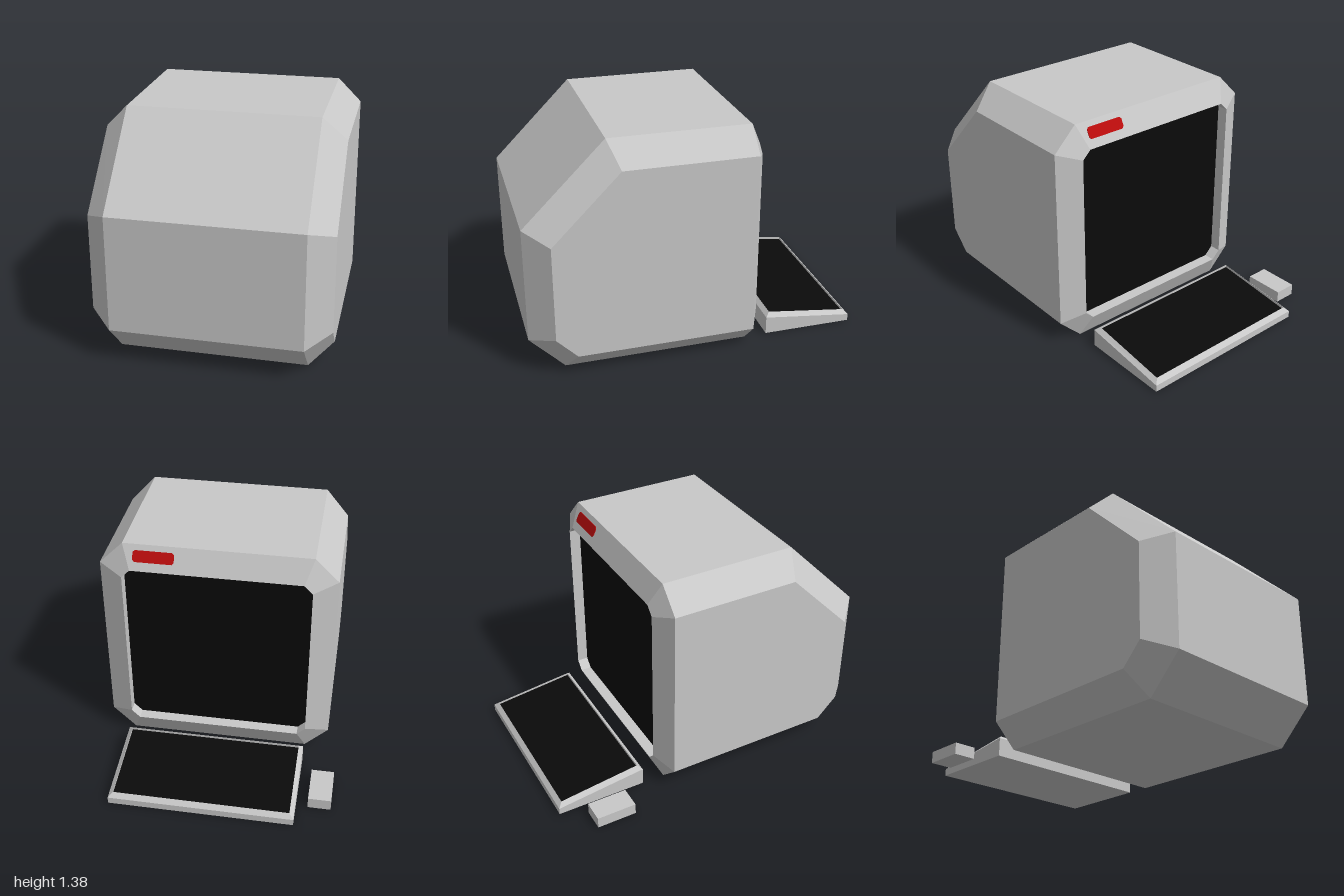
import * as THREE from 'three';

const casing = new THREE.MeshStandardMaterial({ color: 0xc8c8c8 });
casing.name = 'casing grey';
const dark = new THREE.MeshStandardMaterial({ color: 0x0a0a0a });
dark.name = 'screen black';
const red = new THREE.MeshStandardMaterial({ color: 0xbb0c0c });
red.name = 'badge red';

// Flat-shaded mesh from a list of triangles, each corner a [x, y, z]
function facets(name, triangles, material) {
  const g = new THREE.BufferGeometry();
  g.setAttribute('position', new THREE.Float32BufferAttribute(triangles.flat(2), 3));
  g.computeVertexNormals();
  const mesh = new THREE.Mesh(g, material);
  mesh.name = name;
  return mesh;
}

// Fan over a convex ring, facing the side from which it runs counter-clockwise
const cap = (ring) => ring.slice(2).map((p, i) => [ring[0], ring[i + 1], p]);
const flip = (ring) => [...ring].reverse();

// Bands between successive rings; an open ring leaves out its closing side
function loft(rings, closed = true) {
  const out = [];
  for (let r = 0; r < rings.length - 1; r++) {
    const a = rings[r], b = rings[r + 1], n = a.length;
    for (let i = 0; i < (closed ? n : n - 1); i++) {
      const j = (i + 1) % n;
      out.push([a[i], a[j], b[j]], [a[i], b[j], b[i]]);
    }
  }
  return out;
}

const CX = 0.03; // machine centre line
const CY = 0.69;

// Octagon (square with cut corners) that runs counter-clockwise seen from behind
function octagon(h, cut, z) {
  const k = h - cut;
  return [[-k, h], [k, h], [h, k], [h, -k], [k, -h], [-k, -h], [-h, -k], [-h, k]]
    .map(([x, y]) => [CX + x, CY + y, z]);
}

// Sloping keyboard outline; y falls from the machine side to the typist side
function slab(inset, yNear, yFar) {
  const x0 = CX - 0.55 + inset, x1 = CX + 0.55 - inset;
  const z0 = -1 + inset, z1 = -0.45 - inset;
  return [[x0, yNear, z1], [x1, yNear, z1], [x1, yFar, z0], [x0, yFar, z0]];
}

export function createModel() {
  const model = new THREE.Group();
  model.name = 'desktopComputer';

  // Housing: side profiles [z, y] lofted across the width
  const main = [[-0.31, 1.38], [0.52, 1.38], [1, 0.9], [1, 0.21], [0.795, 0], [-0.31, 0]];
  const side = [[-0.31, 1.24], [0.465, 1.24], [0.862, 0.84], [0.862, 0.265], [0.74, 0.14], [-0.31, 0.14]];
  const at = (profile, x) => profile.map(([z, y]) => [x, y, z]);
  const rings = [at(side, CX - 0.69), at(main, CX - 0.55), at(main, CX + 0.55), at(side, CX + 0.69)];
  model.add(facets('housing', [...loft(rings, false), ...cap(flip(rings[0])), ...cap(rings[3])], casing));

  // Bezel slopes out to a rim, then drops straight back to the screen
  const rim = octagon(0.55, 0.05, -0.378);
  const screen = octagon(0.55, 0.05, -0.31);
  model.add(facets('bezel', loft([octagon(0.69, 0.14, -0.31), rim, screen]), casing));
  model.add(facets('screen', cap(screen), dark));

  // Small badge lying on the upper bezel slope
  const w = 0.12, h = 0.034, c = 0.012;
  const outline = new THREE.Shape(
    [[-w + c, -h], [w - c, -h], [w, -h + c], [w, h - c], [w - c, h], [-w + c, h], [-w, h - c], [-w, -h + c]]
      .map(([x, y]) => new THREE.Vector2(x, y)));
  const badge = new THREE.Mesh(
    new THREE.ExtrudeGeometry(outline, { depth: 0.008, bevelEnabled: false }).translate(0, 0, -0.004), red);
  badge.name = 'badge';
  badge.position.set(0.395, 1.318, -0.34);
  badge.rotation.x = Math.atan2(0.068, 0.14);
  model.add(badge);

  // Keyboard: wedge with a bevelled rim around a sunken key field
  const keyboard = new THREE.Group();
  keyboard.name = 'keyboard';
  const base = slab(0, 0, 0);
  const keys = slab(0.026, 0.118, 0.053);
  keyboard.add(facets('keyboardCase',
    [...loft([base, slab(0, 0.11, 0.042), slab(0.026, 0.133, 0.068), keys]), ...cap(flip(base))], casing));
  keyboard.add(facets('keyField', cap(keys), dark));
  model.add(keyboard);

  // Mouse
  const mouse = new THREE.Mesh(new THREE.BoxGeometry(0.136, 0.07, 0.242), casing);
  mouse.name = 'mouse';
  mouse.position.set(-0.657, 0.035, -0.725);
  model.add(mouse);

  return model;
}
